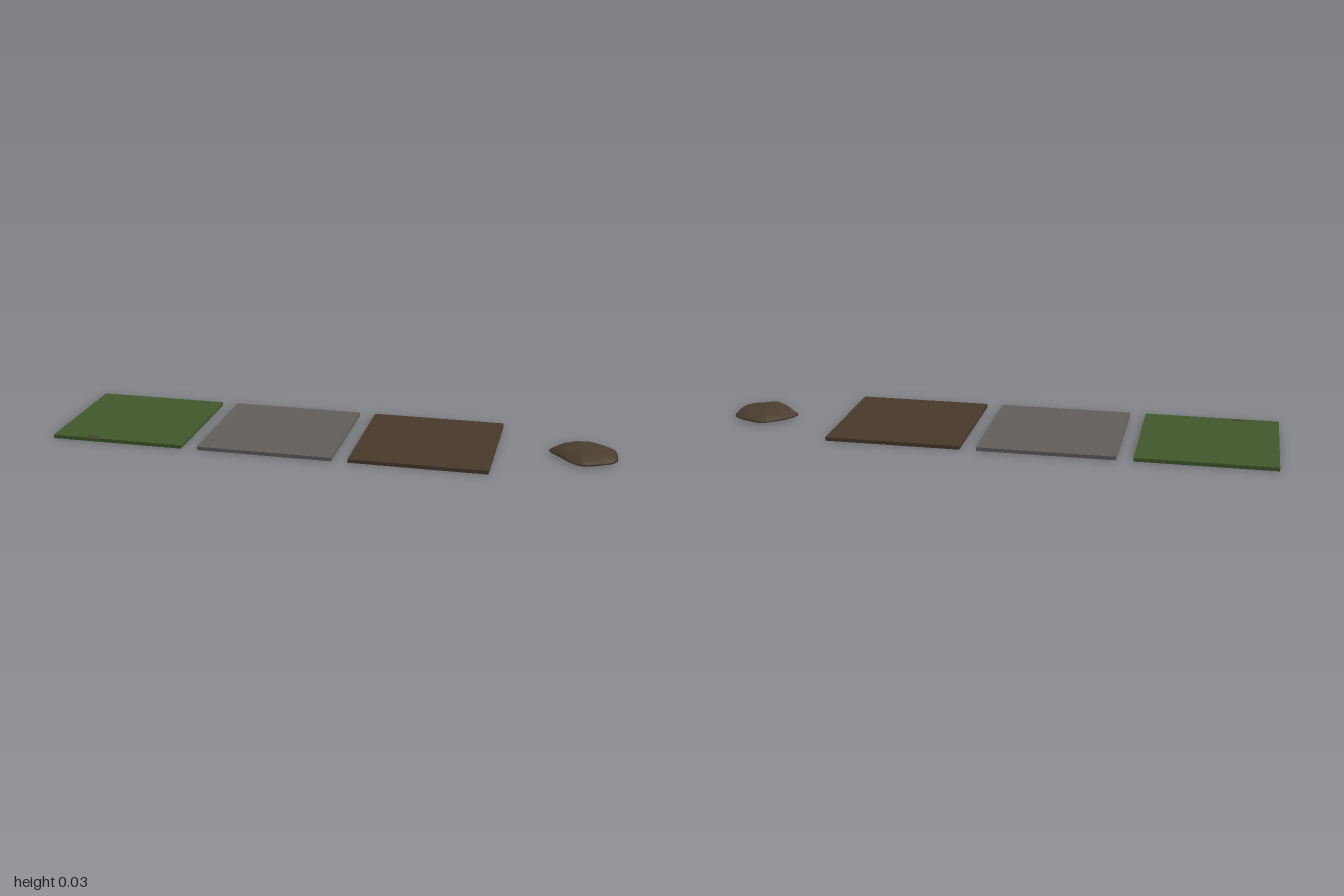
import * as THREE from 'three';

const material = (name, color) => {
  const m = new THREE.MeshStandardMaterial({ color });
  m.name = name;
  return m;
};

// Worn rock: closed rings scaled from one outline, domed above and nearly flat below
function rockGeometry() {
  const cx = 0.885, cz = -0.005, seg = 40;
  const outline = new THREE.CatmullRomCurve3([
    [0.863, -0.125], [0.91, -0.113], [0.982, -0.075], [0.999, -0.02], [0.995, 0.058],
    [0.945, 0.094], [0.885, 0.115], [0.85, 0.098], [0.805, 0.046], [0.762, -0.01], [0.79, -0.07], [0.825, -0.1],
  ].map(([x, z]) => new THREE.Vector3(x, 0, z)), true).getPoints(seg).slice(0, seg);

  // Each ring: outline scale, height
  const rings = [[0.02, 0.033], [0.2, 0.033], [0.4, 0.031], [0.55, 0.028], [0.7, 0.0245],
    [0.83, 0.019], [0.94, 0.012], [1, 0.0075], [0.9, 0.005], [0.5, 0.005], [0.02, 0.006]];
  const pos = [], index = [];
  rings.forEach(([s, y], r) => outline.forEach((p, i) => {
    const a = (i / seg) * Math.PI * 2;
    const bump = r < 7 ? 0.0018 * s * (Math.sin(a * 5 + s * 6) + 0.6 * Math.sin(a * 9 - s * 11)) : 0;
    pos.push(cx + (p.x - cx) * s, y + bump, cz + (p.z - cz) * s);
  }));
  for (let r = 0; r < rings.length - 1; r++) {
    for (let i = 0; i < seg; i++) {
      const j = (i + 1) % seg;
      const a = r * seg + i, b = r * seg + j, c = a + seg, d = b + seg;
      index.push(a, b, c, b, d, c);
    }
  }
  // Close the small holes at the top and bottom centres
  const last = (rings.length - 1) * seg;
  for (let i = 1; i < seg - 1; i++) {
    index.push(0, i + 1, i, last, last + i, last + i + 1);
  }
  const g = new THREE.BufferGeometry();
  g.setAttribute('position', new THREE.Float32BufferAttribute(pos, 3));
  g.setIndex(index);
  g.computeVertexNormals();
  return g;
}

export function createModel() {
  const model = new THREE.Group();
  model.name = 'groundTiles';
  const grass = material('grassGreen', 0x41572c);
  const stone = material('stoneGrey', 0x605d5b);
  const earth = material('earthBrown', 0x47392c);
  const rockBrown = material('rockBrown', 0x4b3d30);

  // Three square ground slabs; the earth slab has a stone underside
  const size = 0.487, thick = 0.013;
  const slab = new THREE.BoxGeometry(size, thick, size);
  const tiles = [
    ['grassTile', -0.757, grass],
    ['stoneTile', -0.211, stone],
    ['earthTile', 0.335, [earth, earth, earth, stone, earth, earth]],
  ];
  for (const [name, x, mat] of tiles) {
    const mesh = new THREE.Mesh(slab, mat);
    mesh.name = name;
    mesh.position.set(x, thick / 2, 0);
    model.add(mesh);
  }

  // Small bare patch near the front of the grass
  const patch = new THREE.Mesh(new THREE.CircleGeometry(1, 16), earth);
  patch.name = 'barePatch';
  patch.rotation.x = -Math.PI / 2;
  patch.scale.set(0.024, 0.01, 1);
  patch.position.set(-0.853, thick + 0.0006, 0.228);
  model.add(patch);

  const rock = new THREE.Mesh(rockGeometry(), rockBrown);
  rock.name = 'rock';
  model.add(rock);
  return model;
}
